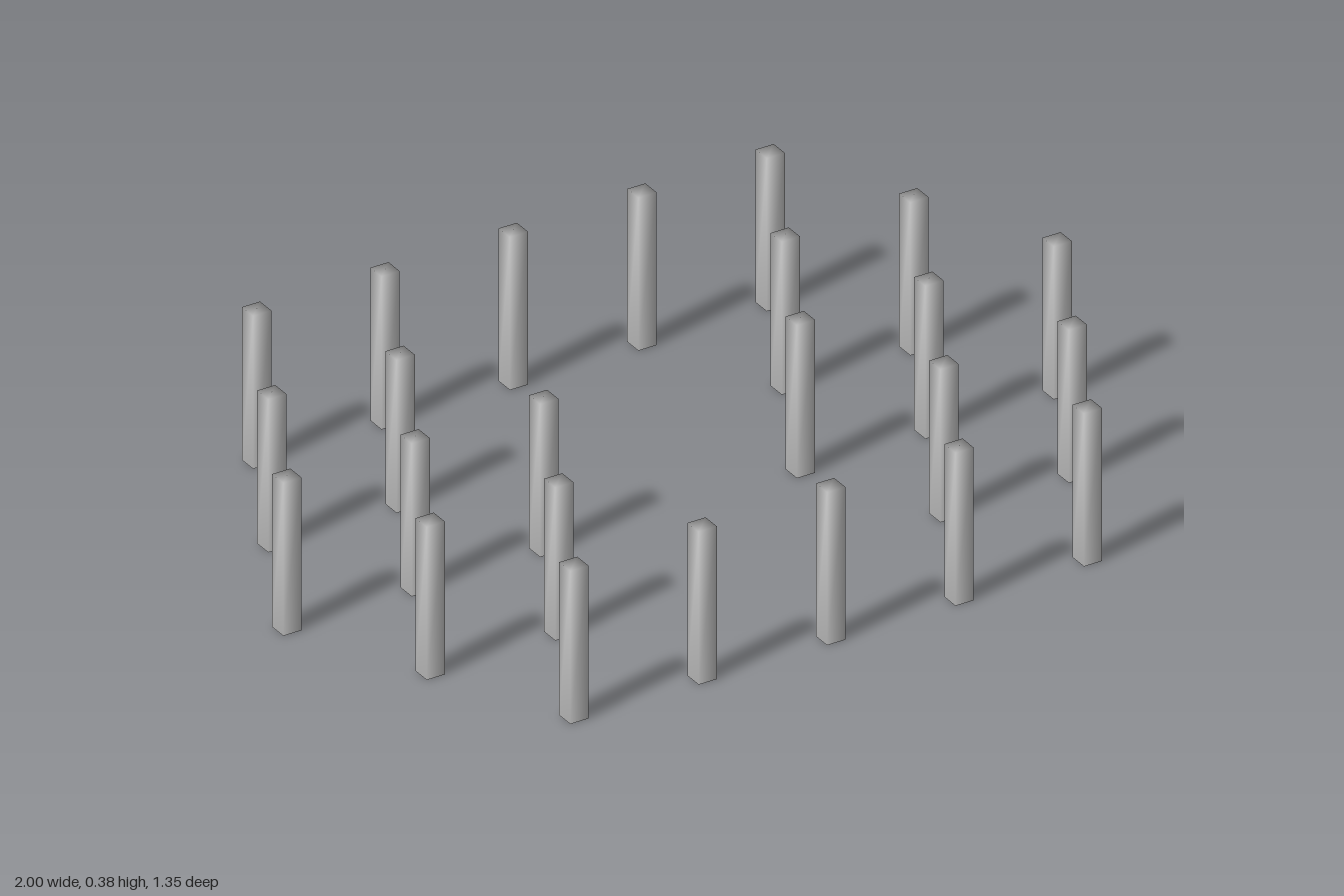
import * as THREE from 'three';
import { mergeVertices } from 'three/addons/utils/BufferGeometryUtils.js';

const WIDTH = 0.046, HEIGHT = 0.38, STEP = 0.3257;

// Square post standing on the ground, with normals shared smoothly at the corners
function postGeometry() {
  const box = new THREE.BoxGeometry(WIDTH, HEIGHT, WIDTH);
  box.translate(0, HEIGHT / 2, 0);
  box.deleteAttribute('normal');
  box.deleteAttribute('uv');
  const post = mergeVertices(box);
  post.computeVertexNormals();
  return post;
}

export function createModel() {
  const model = new THREE.Group();
  model.name = 'postField';
  const geometry = postGeometry();
  const material = new THREE.MeshStandardMaterial({ color: 0xcccccc });

  // Staggered rows: z and x positions in steps of the post spacing
  const rows = [
    { name: 'backRow', z: -2, xs: [-2, -1, 0, 1, 2] },
    { name: 'backInnerRow', z: -1, xs: [-2.5, -1.5, 1.5, 2.5] },
    { name: 'middleRow', z: 0, xs: [-3, -2, -1, 1, 2, 3] },
    { name: 'frontInnerRow', z: 1, xs: [-2.5, -1.5, 1.5, 2.5] },
    { name: 'frontRow', z: 2, xs: [-2, -1, 0, 1, 2] },
  ];
  for (const { name, z, xs } of rows) {
    const row = new THREE.Group();
    row.name = name;
    for (const x of xs) {
      const post = new THREE.Mesh(geometry, material);
      post.name = 'post';
      post.position.set(x * STEP, 0, z * STEP);
      row.add(post);
    }
    model.add(row);
  }
  return model;
}
